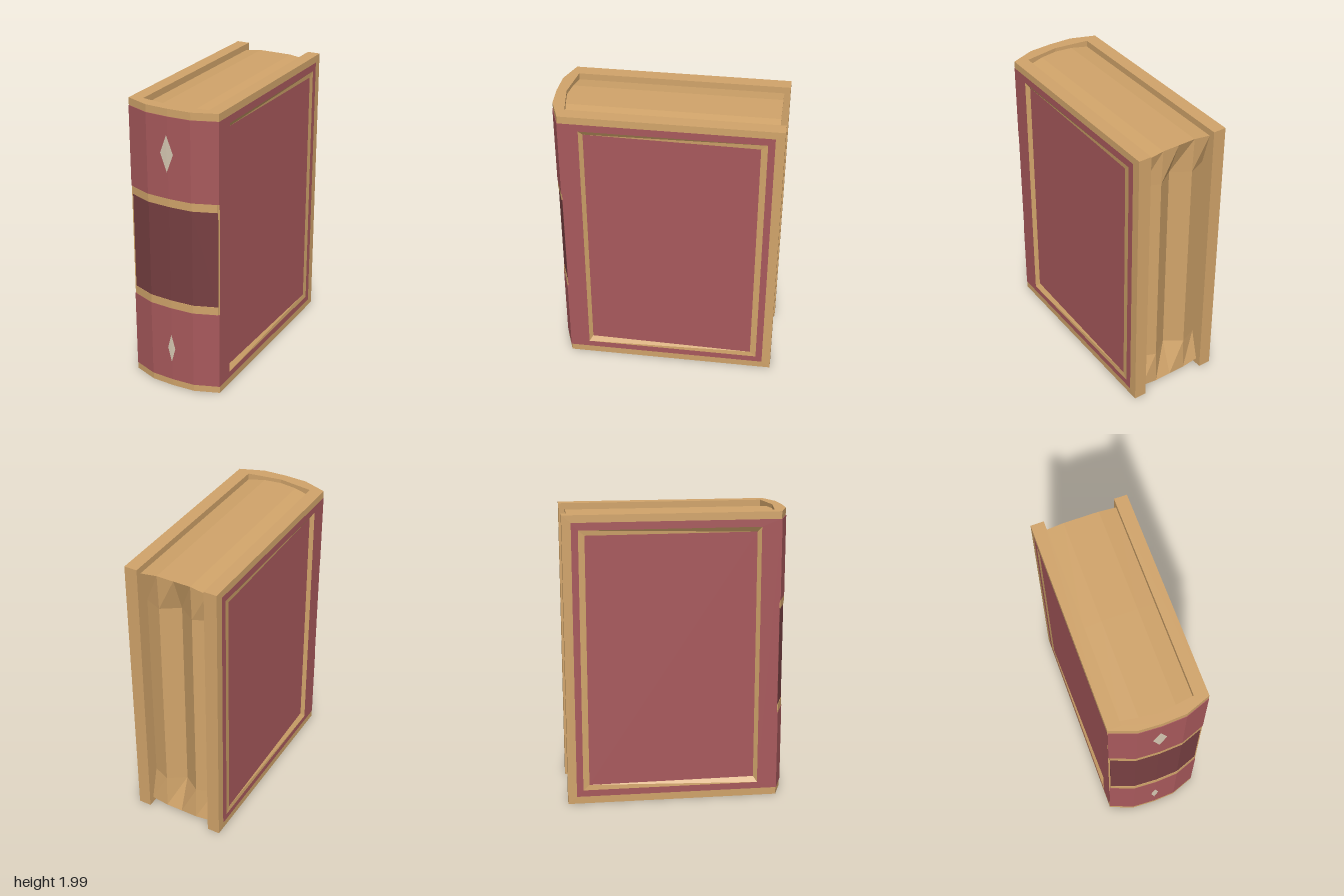
import * as THREE from 'three';

const mat = (name, color) => {
  const m = new THREE.MeshStandardMaterial({ color, flatShading: true });
  m.name = name;
  return m;
};

export function createModel() {
  const red = mat('red leather', 0xa8595c);
  const dark = mat('dark leather', 0x784042);
  const gold = mat('gold and paper', 0xd1a46a);
  const cream = mat('cream', 0xd6c8b2);

  const book = new THREE.Group();
  book.name = 'book';

  const add = (parent, name, geometry, material) => {
    const mesh = new THREE.Mesh(geometry, material);
    mesh.name = name;
    parent.add(mesh);
    return mesh;
  };

  // Flat-shaded geometry from a list of corner triples
  const fromPoints = (pts) => {
    const g = new THREE.BufferGeometry();
    g.setAttribute('position', new THREE.Float32BufferAttribute(pts.flat(), 3));
    g.computeVertexNormals();
    return g;
  };
  const quad = (a, b, c, d) => [a, b, c, a, c, d];

  // Covers: nested rectangles stepping from the inner face to the dished panel
  // Corners run front-bottom, back-bottom, back-top, front-top
  const rect = (s, zf, zb, y0, y1, xf, xb = xf) =>
    [[s * xf, y0, zf], [s * xb, y0, zb], [s * xb, y1, zb], [s * xf, y1, zf]];
  const ring = (s, A, B) => {
    const pts = [];
    for (let i = 0; i < 4; i++) {
      const j = (i + 1) % 4;
      pts.push(...(s > 0 ? quad(A[i], A[j], B[j], B[i]) : quad(A[i], B[i], B[j], A[j])));
    }
    return pts;
  };
  const face = (s, R) => (s > 0 ? quad(...R) : quad(R[3], R[2], R[1], R[0]));

  for (const s of [1, -1]) {
    const cover = new THREE.Group();
    cover.name = s > 0 ? 'leftCover' : 'rightCover';
    const inner = rect(s, 0.685, -0.76, 0.01, 2, 0.237);
    const outer = rect(s, 0.685, -0.76, 0.01, 2, 0.326);
    const border = rect(s, 0.685, -0.7, 0.06, 1.95, 0.327);
    const frameOut = rect(s, 0.555, -0.655, 0.105, 1.9, 0.327);
    const frameIn = rect(s, 0.53, -0.613, 0.142, 1.865, 0.304, 0.323);
    add(cover, 'coverBoard', fromPoints([...face(-s, inner), ...ring(s, inner, outer)]), gold);
    add(cover, 'goldBorder', fromPoints(ring(s, outer, border)), gold);
    add(cover, 'leatherMargin', fromPoints(ring(s, border, frameOut)), red);
    add(cover, 'goldFrame', fromPoints(ring(s, frameOut, frameIn)), gold);
    add(cover, 'leatherPanel', fromPoints(face(s, frameIn)), red);
    book.add(cover);
  }

  // Spine: faceted curved shell cut into horizontal slices
  const spineZ = (x) => {
    const a = Math.abs(x);
    return a < 0.16 ? 0.757 - (a / 0.16) * 0.008 : 0.749 - ((a - 0.16) / 0.166) * 0.062;
  };
  const spineSlice = (name, material, y0, y1, offset, half = 0.326, depth = 0) => {
    const xs = [-half, -0.16, 0, 0.16, half];
    const outline = xs.map((x) => [x, spineZ(x) + offset]);
    if (depth) {
      for (const x of [...xs].reverse()) outline.push([x, spineZ(x) + offset - depth]);
    } else {
      outline.push([half, 0.683], [0.237, 0.683], [0.237, 0.655], [0, 0.69],
        [-0.237, 0.655], [-0.237, 0.683], [-half, 0.683]);
    }
    const shape = new THREE.Shape(outline.map(([x, z]) => new THREE.Vector2(x, -z)));
    const g = new THREE.ExtrudeGeometry(shape, { depth: y1 - y0, bevelEnabled: false });
    g.rotateX(-Math.PI / 2).translate(0, y0, 0);
    add(book, name, g, material);
  };
  spineSlice('spineBottomTrim', gold, 0.01, 0.06, 0);
  spineSlice('spineLower', red, 0.06, 0.61, 0.004);
  spineSlice('spineCore', red, 0.61, 1.4, -0.006);
  spineSlice('spineUpper', red, 1.4, 1.95, 0.004);
  spineSlice('spineTopTrim', gold, 1.95, 2, 0);
  spineSlice('spineLabel', dark, 0.665, 1.345, -0.001, 0.316, 0.008);
  spineSlice('spineLowerBand', gold, 0.61, 0.667, 0.002, 0.316, 0.009);
  spineSlice('spineUpperBand', gold, 1.343, 1.4, 0.002, 0.316, 0.009);

  // Diamonds folded over the middle of the spine
  const diamond = (name, x, y, w, h) => {
    const p = (px, py) => [px, py, spineZ(px) + 0.007];
    const top = p(x, y + h), low = p(x, y - h);
    add(book, name, fromPoints([top, p(x - w, y), low, top, low, p(x + w, y)]), cream);
  };
  diamond('upperDiamond', -0.008, 1.705, 0.047, 0.125);
  diamond('lowerDiamond', -0.002, 0.305, 0.028, 0.105);

  // Page block: gently crowned ends and a creased fore edge
  const pages = new THREE.BoxGeometry(0.476, 1.9, 1.4, 4, 3, 2);
  const pos = pages.attributes.position;
  const crease = [-0.63, -0.71, -0.66];
  for (let i = 0; i < pos.count; i++) {
    const x = pos.getX(i), y = pos.getY(i), z = pos.getZ(i);
    const col = Math.round(Math.abs(x) / 0.119);
    const end = Math.abs(y) > 0.9;
    const crown = col === 2 ? 0 : 0.018;
    pos.setY(i, 1.005 + Math.sign(y) * (end ? 0.95 + crown : 0.72));
    if (z < -0.1) pos.setZ(i, end ? -0.72 : crease[col]);
    else if (z > 0.1) pos.setZ(i, 0.69 - col * 0.0175);
  }
  const block = pages.toNonIndexed();
  block.computeVertexNormals();
  add(book, 'pages', block, gold);

  return book;
}
